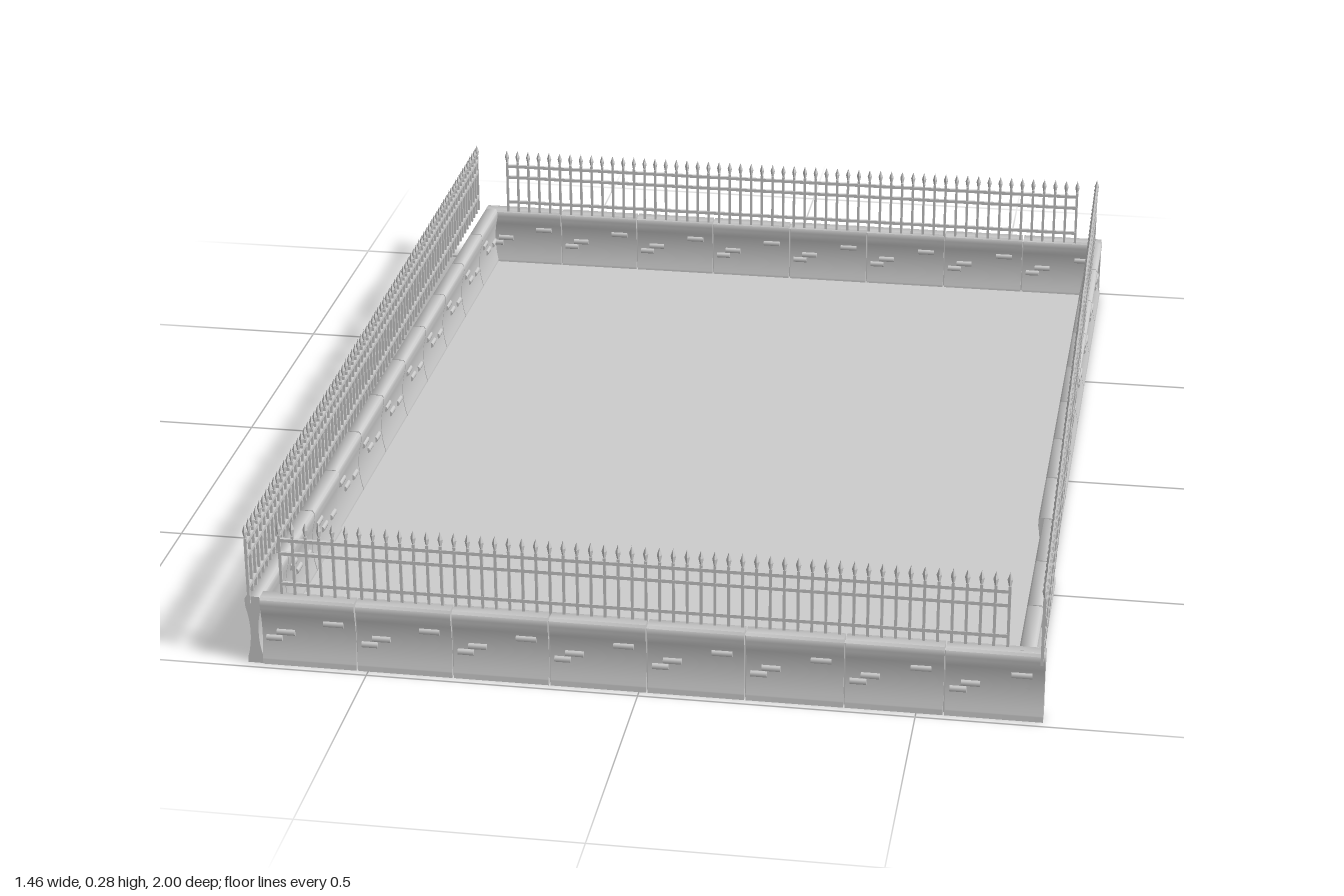
import * as THREE from 'three';
import { mergeGeometries, toCreasedNormals } from 'three/addons/utils/BufferGeometryUtils.js';

const stone = new THREE.MeshStandardMaterial({ color: 0xcccccc });
stone.name = 'paleGrey';

const WALL_H = 0.136;

function box(w, h, d, x, y, z) {
  return new THREE.BoxGeometry(w, h, d).toNonIndexed().translate(x, y, z);
}

// Half width of the concave wall body at height y
function bodyHalf(y) {
  const u = (y - 0.063) / 0.051;
  return 0.0075 + 0.007 * u * u;
}

// Symmetric wall cross-section: foot, concave body, overhanging cap
function wallShape() {
  const half = [[0.015, 0], [0.015, 0.01]];
  for (let i = 0; i <= 8; i++) {
    const y = 0.012 + (0.102 * i) / 8;
    half.push([bodyHalf(y), y]);
  }
  half.push([0.015, 0.12], [0.015, 0.131], [0.012, WALL_H]);
  const mirrored = half.map(([x, y]) => [-x, y]).reverse();
  return new THREE.Shape([...half, ...mirrored].map(([x, y]) => new THREE.Vector2(x, y)));
}

// Place a part built along local x between two plan points [x, z]
function span(part, a, b) {
  part.position.set((a[0] + b[0]) / 2, 0, (a[1] + b[1]) / 2);
  part.rotation.y = Math.atan2(a[1] - b[1], b[0] - a[0]);
  return part;
}

const distance = (a, b) => Math.hypot(b[0] - a[0], b[1] - a[1]);

// Wall split into panels by narrow joints, with rounded bricks on both faces
function makeWall(name, a, b) {
  const group = new THREE.Group();
  group.name = name;
  const length = distance(a, b);
  const count = Math.max(1, Math.round(length / 0.18));
  const step = length / count;
  const gap = 0.003;
  const panels = [box(length - 0.01, 0.125, 0.01, 0, 0.0635, 0)];
  const bricks = [];
  const brick = (x, y, w, side) => {
    const g = new THREE.CylinderGeometry(0.0062, 0.0062, w, 8);
    g.rotateZ(Math.PI / 2).scale(1, 1, 0.8);
    bricks.push(g.translate(x, y, side * bodyHalf(y)));
  };

  for (let i = 0; i < count; i++) {
    const x0 = -length / 2 + i * step;
    const panel = new THREE.ExtrudeGeometry(wallShape(), { depth: step - gap, bevelEnabled: false });
    panel.rotateY(Math.PI / 2).translate(x0 + gap / 2, 0, 0);
    panels.push(toCreasedNormals(panel, 1.2));
    // Stepped bricks on one face
    brick(x0 + 0.046, 0.065, 0.034, 1);
    brick(x0 + 0.024, 0.052, 0.030, 1);
    brick(x0 + step - 0.042, 0.089, 0.037, 1);
    // Scattered bricks on the other
    brick(x0 + 0.035, 0.058, 0.030, -1);
    brick(x0 + 0.095, 0.062, 0.030, -1);
    brick(x0 + 0.135, 0.092, 0.034, -1);
  }
  const body = new THREE.Mesh(mergeGeometries(panels), stone);
  body.name = 'wallPanels';
  const raised = new THREE.Mesh(mergeGeometries(bricks), stone);
  raised.name = 'raisedBricks';
  group.add(body, raised);
  return span(group, a, b);
}

// Railing with spear-topped pickets and three horizontal rails
function makeFence(name, a, b, base) {
  const group = new THREE.Group();
  group.name = name;
  const length = distance(a, b);
  const count = Math.round(length / 0.0247);
  const pickets = [];
  const profile = [[0.0015, 0.25], [0.0022, 0.255], [0.005, 0.268], [0, 0.283]]
    .map(([x, y]) => new THREE.Vector2(x, y));
  for (let i = 0; i <= count; i++) {
    const x = -length / 2 + (length * i) / count;
    pickets.push(box(0.0052, 0.255 - base, 0.0052, x, (0.255 + base) / 2, 0));
    const spear = new THREE.LatheGeometry(profile, 4).toNonIndexed();
    spear.computeVertexNormals();
    pickets.push(spear.translate(x, 0, 0));
  }
  const bars = new THREE.Mesh(mergeGeometries(pickets), stone);
  bars.name = 'pickets';
  const rails = new THREE.Mesh(mergeGeometries(
    [0.157, 0.218, 0.245].map((y) => box(length, 0.0065, 0.006, 0, y, 0))), stone);
  rails.name = 'rails';
  group.add(bars, rails);
  return span(group, a, b);
}

export function createModel() {
  const model = new THREE.Group();
  model.name = 'fencedYard';

  // Ground slab
  const floor = new THREE.Mesh(new THREE.BoxGeometry(1.4, 0.004, 1.955), stone);
  floor.name = 'floor';
  floor.position.set(0, 0.005, -0.006);
  model.add(floor);

  // Low walls; each side is two slightly askew lengths
  model.add(
    makeWall('frontWall', [-0.698, 0.971], [0.727, 0.971]),
    makeWall('backWall', [-0.705, -0.983], [0.727, -0.983]),
    makeWall('leftWallBack', [-0.692, -0.99], [-0.706, 0.45]),
    makeWall('leftWallFront', [-0.702, 0.45], [-0.710, 0.985]),
    makeWall('rightWallBack', [0.712, -0.99], [0.692, 0.45]),
    makeWall('rightWallFront', [0.700, 0.45], [0.692, 0.98]),
  );

  // Iron fences
  model.add(
    makeFence('frontFence', [-0.660, 0.963], [0.657, 0.963], 0.13),
    makeFence('backFence', [-0.651, -0.972], [0.666, -0.972], 0.13),
    makeFence('leftFence', [-0.728, -0.997], [-0.716, 0.985], 0.122),
    makeFence('rightFence', [0.709, -0.985], [0.72, 0.997], 0.122),
  );
  return model;
}
